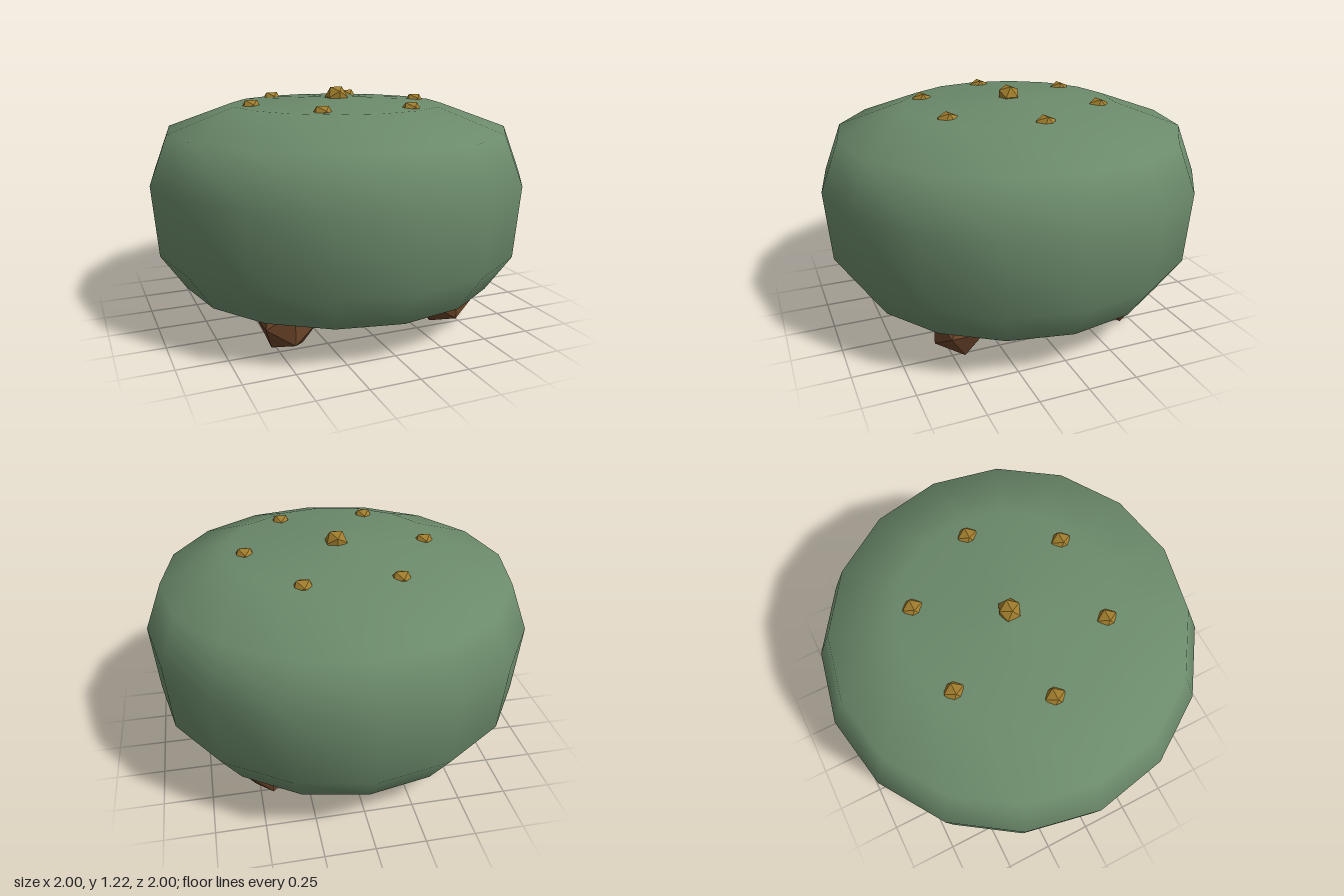
import * as THREE from 'three';

const material = (color, flatShading = false) => new THREE.MeshStandardMaterial({ color, flatShading });

export function createModel() {
  const model = new THREE.Group();
  const green = material(0x6b8a6b);
  const brown = material(0x6b4429, true);
  const gold = material(0xa07c2c, true);

  const add = (name, geometry, mat, x, y, z) => {
    const mesh = new THREE.Mesh(geometry, mat);
    mesh.name = name;
    mesh.position.set(x, y, z);
    model.add(mesh);
    return mesh;
  };

  // Cushion body: smooth sixteen-sided lathe
  const profile = [[0.84, 0.2], [0.97, 0.39], [1, 0.76], [0.905, 1.01], [0.56, 1.135], [0, 1.165]]
    .map(([r, y]) => new THREE.Vector2(r, y));
  add('cushion', new THREE.LatheGeometry(profile, 16), green, 0, 0, 0);

  // Flat underside
  add('underside', new THREE.CircleGeometry(0.84, 16), green, 0, 0.2, 0).rotation.x = Math.PI / 2;

  // Four faceted feet
  const footShape = new THREE.IcosahedronGeometry(0.155);
  for (const x of [-0.44, 0.44]) {
    for (const z of [-0.44, 0.44]) {
      add(`${z > 0 ? 'front' : 'back'}${x > 0 ? 'Left' : 'Right'}Foot`, footShape, brown, x, 0.132, z);
    }
  }

  // Centre button and a ring of six half-sunk studs
  add('centreButton', new THREE.IcosahedronGeometry(0.062), gold, 0, 1.167, 0);
  const studShape = new THREE.IcosahedronGeometry(0.059);
  for (let i = 0; i < 6; i++) {
    const a = (i * Math.PI) / 3;
    add(`stud${i + 1}`, studShape, gold, 0.47 * Math.cos(a), 1.115, 0.47 * Math.sin(a));
  }

  return model;
}
